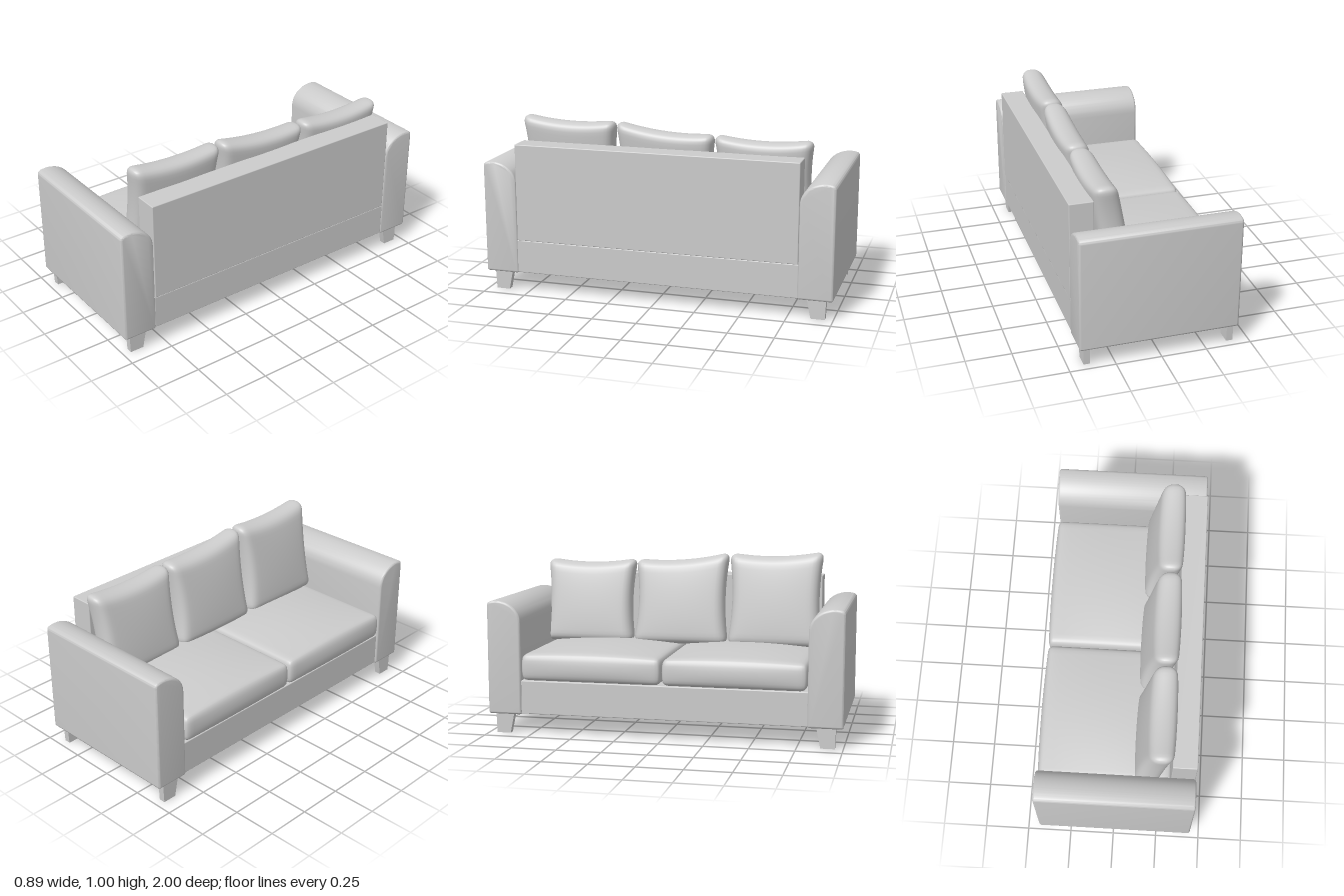
import * as THREE from 'three';
import { mergeVertices, toCreasedNormals } from 'three/addons/utils/BufferGeometryUtils.js';
import { RoundedBoxGeometry } from 'three/addons/geometries/RoundedBoxGeometry.js';

const material = new THREE.MeshStandardMaterial({ color: 0xcccccc });

function add(group, name, geometry) {
  const mesh = new THREE.Mesh(geometry, material);
  mesh.name = name;
  group.add(mesh);
  return mesh;
}

// Box given by its limits, with slightly softened edges
function block(group, name, x0, x1, y0, y1, z0, z1, r = 0.005) {
  const mesh = add(group, name, new RoundedBoxGeometry(x1 - x0, y1 - y0, z1 - z0, 2, r));
  mesh.position.set((x0 + x1) / 2, (y0 + y1) / 2, (z0 + z1) / 2);
}

// Finely divided round-edged box, whose vertices are then moved by a rule
function softBox(sx, sy, sz, r, segments, deform) {
  const geometry = new THREE.BoxGeometry(sx, sy, sz, ...segments);
  geometry.deleteAttribute('normal');
  geometry.deleteAttribute('uv');
  const soft = mergeVertices(geometry, 1e-5);
  const half = new THREE.Vector3(sx, sy, sz).multiplyScalar(0.5);
  const core = half.clone().subScalar(r);
  const p = new THREE.Vector3();
  const inner = new THREE.Vector3();
  const pos = soft.attributes.position;
  for (let i = 0; i < pos.count; i++) {
    p.fromBufferAttribute(pos, i);
    // crowd the vertices towards the edges
    for (const a of ['x', 'y', 'z']) p[a] = half[a] * Math.sin((Math.PI / 2) * p[a] / half[a]);
    inner.copy(p).clamp(core.clone().negate(), core);
    p.sub(inner).setLength(r).add(inner);
    deform(p, p.x / half.x, p.y / half.y, p.z / half.z);
    pos.setXYZ(i, p.x, p.y, p.z);
  }
  soft.computeVertexNormals();
  return soft;
}

// Armrest: upright slab with its inner top edge rolled over
function armGeometry(side) {
  const X = (z) => -side * z;
  const s = new THREE.Shape();
  s.moveTo(X(0.82), 0.11);
  s.lineTo(X(0.985), 0.11);
  s.quadraticCurveTo(X(1), 0.11, X(1), 0.125);
  s.lineTo(X(1), 0.725);
  s.quadraticCurveTo(X(1), 0.745, X(0.98), 0.75);
  s.quadraticCurveTo(X(0.95), 0.757, X(0.92), 0.752);
  s.bezierCurveTo(X(0.86), 0.742, X(0.806), 0.70, X(0.806), 0.63);
  s.lineTo(X(0.806), 0.125);
  s.quadraticCurveTo(X(0.806), 0.11, X(0.82), 0.11);
  const bevel = 0.013;
  const geometry = new THREE.ExtrudeGeometry(s, {
    depth: 0.875 - 2 * bevel, curveSegments: 10,
    bevelSize: bevel, bevelThickness: bevel, bevelOffset: -bevel, bevelSegments: 4,
  });
  geometry.rotateY(Math.PI / 2).translate(-0.43 + bevel, 0, 0);
  return toCreasedNormals(geometry, 0.7);
}

// Foot: vertical on the outside, tapering on the inside
function footGeometry(side) {
  const s = new THREE.Shape();
  [[0.96, 0.115], [0.955, 0], [0.877, 0], [0.853, 0.115]].forEach(([z, y], i) =>
    i ? s.lineTo(-side * z, y) : s.moveTo(-side * z, y));
  return new THREE.ExtrudeGeometry(s, { depth: 0.036, bevelEnabled: false })
    .rotateY(Math.PI / 2).translate(-0.018, 0, 0);
}

// Seat cushion: crowned top and a front that bulges between its corners
function seatGeometry() {
  return softBox(0.745, 0.15, 0.8, 0.03, [20, 12, 24], (p, u, v, w) => {
    const across = 1 - w * w;
    if (v > 0) p.y += v * (0.012 * across + 0.02 * across * (1 - u * u));
    if (u < 0) p.x += u * 0.018 * (1 - v * v) * (0.4 + 0.6 * across);
    p.z -= w * 0.006 * v * v;
  });
}

// Back pillow: pinched sides, sagging top edge, full middle, leaning backwards
function pillowGeometry({ z0, z1, top0, top1 }) {
  const bottom = 0.455, height = 0.53, width = z1 - z0;
  return softBox(0.118, height, width, 0.05, [10, 24, 24], (p, u, v, w) => {
    const across = 1 - w * w;
    const up = 1 - v * v;
    const top = THREE.MathUtils.lerp(top0, top1, (w + 1) / 2) - 0.026 * across;
    p.x *= 1 + 0.42 * Math.sqrt(Math.max(0, across * up));
    p.x += 0.213 + 0.043 * v;
    p.y = bottom + (v + 1) / 2 * (top - bottom);
    p.z = p.z * (1 - 0.085 * up) + (z0 + z1) / 2;
  });
}

export function createModel() {
  const sofa = new THREE.Group();
  sofa.name = 'sofa';

  // Frame
  block(sofa, 'base', -0.42, 0.44, 0.115, 0.305, -0.81, 0.81);
  block(sofa, 'backrest', 0.31, 0.443, 0.305, 0.86, -0.806, 0.806);

  // Arms and feet
  for (const side of [-1, 1]) {
    add(sofa, side > 0 ? 'leftArm' : 'rightArm', armGeometry(side));
    for (const x of [-0.397, 0.397]) {
      add(sofa, x < 0 ? 'frontFoot' : 'rearFoot', footGeometry(side)).position.x = x;
    }
  }

  // Seat cushions
  for (const side of [-1, 1]) {
    add(sofa, 'seatCushion', seatGeometry()).position.set(-0.058, 0.381, side * 0.403);
  }

  // Back pillows, each a little lower than the last
  const pillows = [
    { z0: 0.265, z1: 0.822, top0: 0.992, top1: 1.008 },
    { z0: -0.3, z1: 0.268, top0: 0.947, top1: 0.995 },
    { z0: -0.848, z1: -0.295, top0: 0.945, top1: 0.95 },
  ];
  for (const pillow of pillows) add(sofa, 'backPillow', pillowGeometry(pillow));

  return sofa;
}
